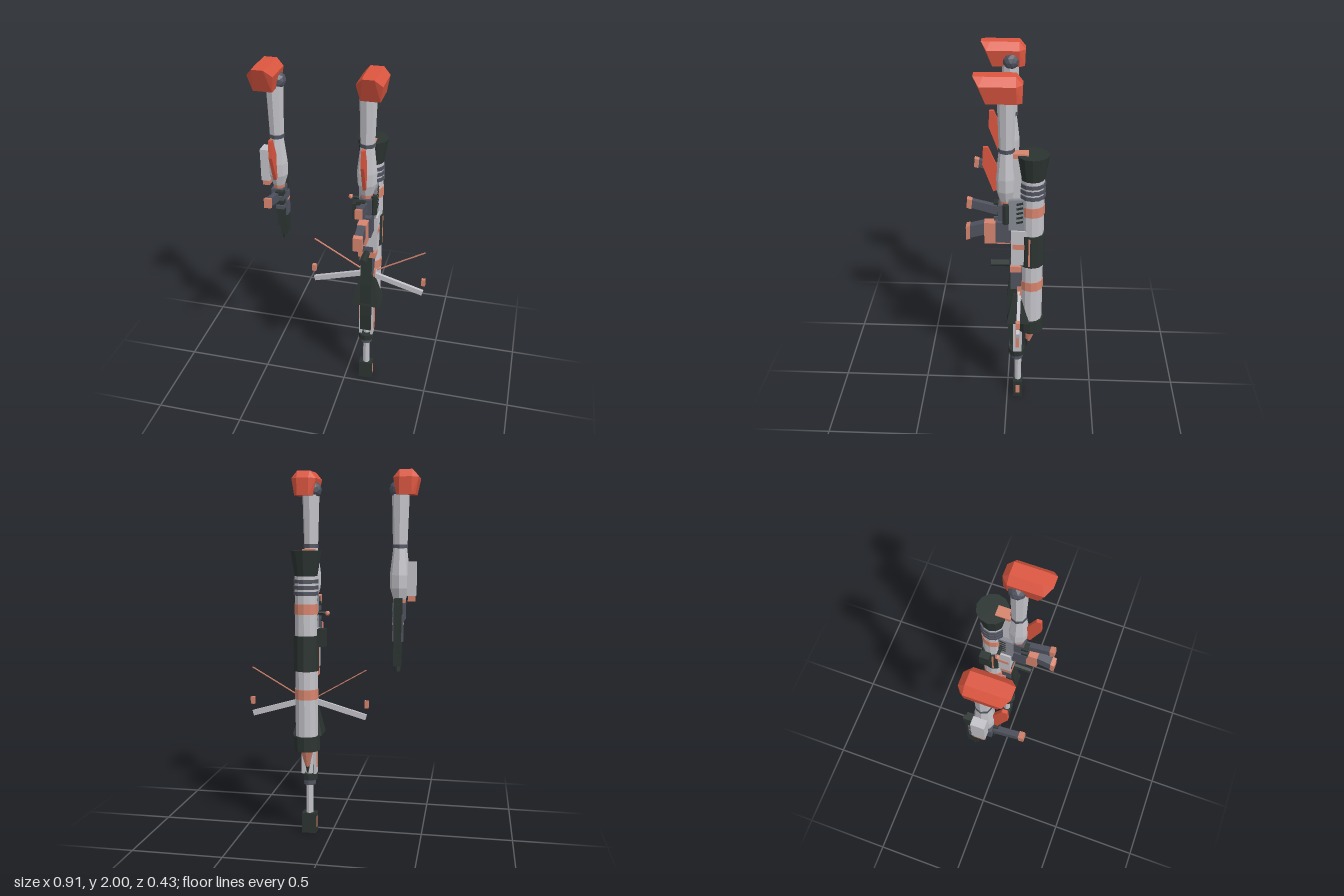
import * as THREE from 'three';
import { ConvexGeometry } from 'three/addons/geometries/ConvexGeometry.js';

const colour = (name, color) => {
  const m = new THREE.MeshStandardMaterial({ color, flatShading: true });
  m.name = name;
  return m;
};

export function createModel() {
  const red = colour('armour red', 0xdc5640);
  const salmon = colour('salmon trim', 0xd6846d);
  const grey = colour('light grey', 0xc2c2c8);
  const mid = colour('mid grey', 0x898b94);
  const slate = colour('slate', 0x50535f);
  const dark = colour('dark green black', 0x2b3431);

  const add = (parent, name, mat, geo, x = 0, y = 0, z = 0) => {
    const mesh = new THREE.Mesh(geo, mat);
    mesh.name = name;
    mesh.position.set(x, y, z);
    parent.add(mesh);
    return mesh;
  };
  // box from its centre x, width, and y and z ranges
  const box = (p, name, mat, x, w, y0, y1, z0, z1) =>
    add(p, name, mat, new THREE.BoxGeometry(w, y1 - y0, z1 - z0), x, (y0 + y1) / 2, (z0 + z1) / 2);
  // upright cylinder or cone
  const cyl = (p, name, mat, rBottom, rTop, y0, y1, z, n = 12, x = 0) =>
    add(p, name, mat, new THREE.CylinderGeometry(rTop, rBottom, y1 - y0, n), x, (y0 + y1) / 2, z);
  // faceted solid through corner points
  const hull = (p, name, mat, pts) =>
    add(p, name, mat, new ConvexGeometry(pts.map(a => new THREE.Vector3(...a))));
  // side profile of [z, y] points, extruded across x
  const plate = (p, name, mat, pts, w, x = 0) => {
    const g = new THREE.ExtrudeGeometry(new THREE.Shape(pts.map(a => new THREE.Vector2(-a[0], a[1]))),
      { depth: w, bevelEnabled: false });
    g.rotateY(Math.PI / 2).translate(-w / 2, 0, 0);
    return add(p, name, mat, g, x);
  };
  // bar of rectangular section between two points in the front plane
  const bar = (p, name, mat, x0, y0, x1, y1, h, d, z) => {
    const m = add(p, name, mat, new THREE.BoxGeometry(Math.hypot(x1 - x0, y1 - y0), h, d), (x0 + x1) / 2, (y0 + y1) / 2, z);
    m.rotation.z = Math.atan2(y1 - y0, x1 - x0);
    return m;
  };

  // Arm: s is the outward direction
  const arm = (name, x, s) => {
    const g = new THREE.Group();
    g.name = name;
    g.position.x = x;
    const pad = [];
    for (const [y, w, z0, z1, c] of [[2, 0.034, -0.045, 0.16, 0.05], [1.96, 0.067, -0.045, 0.13, 0],
      [1.87, 0.05, -0.05, 0.10, 0]])
      for (const k of [-1, 1]) pad.push([s * 0.03 + k * w, y, z0], [s * 0.03 + k * w, y, z1 - c]);
    for (const k of [-1, 1]) pad.push([s * 0.03 + k * 0.032, 1.96, -0.078],
      [s * 0.03 + k * 0.032, 1.87, -0.075], [s * 0.03 + k * 0.03, 2, 0.16]);
    hull(g, 'shoulderPad', red, pad);
    add(g, 'shoulderJoint', slate, new THREE.IcosahedronGeometry(0.046, 1), -s * 0.015, 1.9, 0);
    cyl(g, 'upperArm', grey, 0.039, 0.047, 1.61, 1.88, 0.003, 8);
    cyl(g, 'elbowRing', slate, 0.042, 0.042, 1.592, 1.612, 0.003, 8);
    const profile = [[0, 1.32], [0.034, 1.32], [0.052, 1.38], [0.054, 1.45], [0.037, 1.595], [0, 1.595]];
    add(g, 'forearm', grey, new THREE.LatheGeometry(profile.map(a => new THREE.Vector2(...a)), 8), 0, 0, 0.005);
    plate(g, 'elbowFin', red, [[0.12, 1.615], [0.095, 1.615], [0.05, 1.51], [0.05, 1.38], [0.07, 1.37], [0.125, 1.52]], 0.018);
    cyl(g, 'wrist', salmon, 0.03, 0.034, 1.295, 1.325, 0.005, 8);
    // closed hand
    box(g, 'palm', slate, 0, 0.066, 1.21, 1.3, -0.035, 0.045);
    for (let i = 0; i < 4; i++)
      box(g, 'finger', i % 2 ? dark : slate, -s * 0.02, 0.045, 1.195 + i * 0.027, 1.217 + i * 0.027, 0.035, 0.07);
    // angled grip with a trim cap
    plate(g, 'grip', slate, [[0.19, 1.275], [0.05, 1.235], [0.05, 1.285], [0.19, 1.32]], 0.03);
    plate(g, 'gripCap', salmon, [[0.21, 1.275], [0.185, 1.268], [0.18, 1.32], [0.207, 1.327]], 0.036);
    return g;
  };

  const model = new THREE.Group();
  model.name = 'armsAndWeapons';
  const right = arm('rightArm', -0.36, -1);
  const left = arm('leftArm', 0.125, 1);
  model.add(right, left);

  // Forearm canister on the right arm
  box(right, 'forearmBox', grey, -0.066, 0.046, 1.34, 1.52, -0.035, 0.035);
  box(right, 'forearmBoxEnd', salmon, -0.066, 0.038, 1.31, 1.34, -0.028, 0.028);

  // Pistol pointing down
  const pistol = new THREE.Group();
  pistol.name = 'pistol';
  right.add(pistol);
  box(pistol, 'slide', dark, 0, 0.04, 0.97, 1.33, -0.1, -0.04);
  box(pistol, 'frame', dark, 0, 0.034, 1.05, 1.28, -0.04, 0.0);
  cyl(pistol, 'muzzle', dark, 0.018, 0.018, 0.94, 0.98, -0.065, 8);
  box(pistol, 'sidePanel', slate, 0, 0.056, 1.1, 1.24, -0.085, -0.035);
  box(pistol, 'panelStripe', salmon, 0, 0.06, 1.19, 1.2, -0.08, -0.04);
  box(pistol, 'rearSight', dark, 0, 0.022, 1.26, 1.3, -0.115, -0.1);
  box(pistol, 'frontSight', dark, 0, 0.012, 1.0, 1.03, -0.11, -0.1);
  plate(pistol, 'triggerGuard', dark, [[0, 1.13], [0.05, 1.15], [0.05, 1.22], [0, 1.24]], 0.014);

  // Launcher tube
  const launcher = new THREE.Group();
  launcher.name = 'launcher';
  left.add(launcher);
  const tz = -0.132;
  cyl(launcher, 'tube', grey, 0.062, 0.062, 0.52, 1.46, tz);
  cyl(launcher, 'flaredEnd', dark, 0.06, 0.084, 1.435, 1.58, tz);
  for (let i = 0; i < 3; i++) cyl(launcher, 'coolingRing', slate, 0.068, 0.068, 1.345 + i * 0.032, 1.365 + i * 0.032, tz);
  cyl(launcher, 'upperBand', salmon, 0.065, 0.065, 1.245, 1.3, tz);
  cyl(launcher, 'lowerBand', salmon, 0.065, 0.065, 0.785, 0.84, tz);
  cyl(launcher, 'sleeve', dark, 0.07, 0.07, 0.94, 1.13, tz);
  cyl(launcher, 'baseCollar', dark, 0.074, 0.074, 0.5, 0.58, tz);
  box(launcher, 'sleeveStripe', salmon, 0, 0.136, 0.95, 1.12, -0.135, -0.115);
  box(launcher, 'sightBox', dark, -0.09, 0.042, 1.075, 1.17, -0.18, -0.125);
  const war = cyl(launcher, 'warhead', salmon, 0.012, 0.04, 0.4, 0.51, -0.128, 8);
  war.rotation.x = -0.14;
  cyl(launcher, 'warheadTip', dark, 0.003, 0.015, 0.36, 0.415, -0.114, 8);

  // Rifle pointing down
  const rifle = new THREE.Group();
  rifle.name = 'rifle';
  left.add(rifle);
  box(rifle, 'muzzleBrake', dark, 0, 0.08, 0, 0.115, -0.09, -0.036);
  box(rifle, 'muzzleInset', salmon, 0, 0.084, 0.03, 0.09, -0.075, -0.052);
  cyl(rifle, 'barrel', grey, 0.02, 0.02, 0.11, 0.58, -0.063, 8);
  cyl(rifle, 'barrelCollar', dark, 0.046, 0.046, 0.31, 0.345, -0.055, 10);
  cyl(rifle, 'collarLip', slate, 0.034, 0.034, 0.28, 0.31, -0.058, 10);
  for (const s of [-1, 1]) {
    box(rifle, 'sideRail', grey, s * 0.033, 0.016, 0.345, 0.72, -0.085, -0.035);
    box(rifle, 'railTrim', salmon, s * 0.043, 0.006, 0.38, 0.57, -0.07, -0.05);
  }
  plate(rifle, 'handguard', dark, [[-0.03, 0.385], [-0.02, 0.385], [-0.005, 0.5], [0, 0.72], [-0.02, 0.9], [-0.07, 0.9], [-0.07, 0.5]], 0.062);
  hull(rifle, 'flaredGuard', dark, [-1, 1].flatMap(k => [
    [k * 0.08, 0.575, 0], [k * 0.08, 0.575, -0.125], [k * 0.042, 0.75, -0.035], [k * 0.042, 0.75, -0.07]]));
  box(rifle, 'lowerReceiver', slate, 0, 0.07, 0.78, 0.97, -0.085, -0.02);
  box(rifle, 'receiverBand', salmon, 0, 0.1, 0.9, 0.935, -0.08, -0.018);
  box(rifle, 'lowerBracket', salmon, 0, 0.082, 0.73, 0.8, -0.08, -0.055);
  box(rifle, 'receiver', grey, 0, 0.11, 0.95, 1.16, -0.11, -0.022);
  box(rifle, 'receiverStripe', salmon, 0, 0.114, 1.05, 1.08, -0.1, -0.03);
  box(rifle, 'upperReceiver', mid, 0, 0.09, 1.16, 1.34, -0.095, -0.01);
  for (let i = 0; i < 5; i++) {
    const vent = box(rifle, 'vent', dark, 0, 0.096, 1.205 + i * 0.027, 1.216 + i * 0.027, -0.085, -0.05);
    vent.rotation.x = 0.25;
  }
  cyl(rifle, 'bolt', dark, 0.018, 0.018, 1.2, 1.31, 0.005, 8, 0.04);
  const stub = cyl(rifle, 'foreGrip', dark, 0.02, 0.02, 0.885, 0.985, 0.037, 8);
  stub.rotation.x = Math.PI / 2;
  stub.position.y = 0.93;
  // Magazine and its housing
  box(rifle, 'magazineWell', salmon, 0, 0.05, 1.065, 1.19, -0.02, 0.12);
  box(rifle, 'magazineFrame', slate, 0, 0.075, 1.08, 1.2, -0.02, 0.06);
  plate(rifle, 'magazine', slate, [[0.2, 1.095], [0.11, 1.12], [0.11, 1.19], [0.2, 1.165]], 0.044);
  plate(rifle, 'magazineBase', salmon, [[0.217, 1.085], [0.195, 1.092], [0.195, 1.17], [0.217, 1.163]], 0.05);
  // Shoulder stock
  box(rifle, 'stock', grey, 0, 0.05, 1.32, 1.565, -0.075, -0.03);
  box(rifle, 'buttPlate', salmon, -0.002, 0.056, 1.565, 1.588, -0.11, -0.03);
  // Charging handle
  const stem = cyl(rifle, 'handleStem', dark, 0.009, 0.009, 1.2, 1.27, -0.075, 6, -0.07);
  stem.rotation.z = Math.PI / 2;
  stem.position.y = 1.245;
  add(rifle, 'handleKnob', salmon, new THREE.IcosahedronGeometry(0.015, 0), -0.105, 1.245, -0.075);

  // Folding wings, stays and tip blocks
  for (const s of [-1, 1]) {
    bar(rifle, 'wing', grey, s * 0.04, 0.757, s * 0.318, 0.677, 0.03, 0.018, -0.069);
    bar(rifle, 'wingStay', salmon, s * 0.05, 0.785, s * 0.318, 0.94, 0.005, 0.008, -0.08);
    box(rifle, 'wingTip', salmon, s * 0.32, 0.022, 0.73, 0.77, -0.08, -0.058);
  }
  return model;
}
